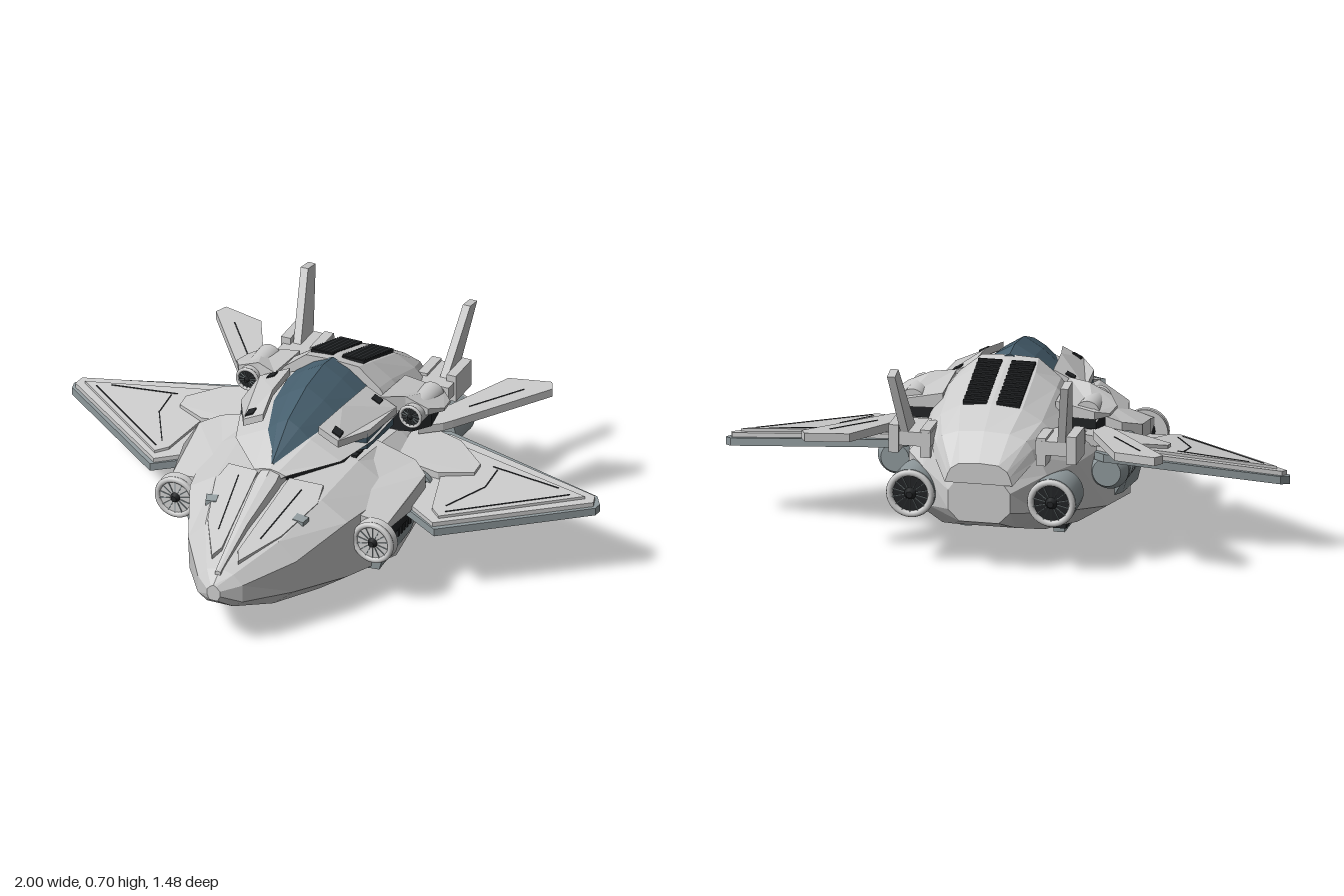
import * as THREE from 'three';

const mat = (color, flatShading = true) => new THREE.MeshStandardMaterial({ color, flatShading });
const GREY = mat(0xcccccc), ROUND = mat(0xcccccc, false), STEEL = mat(0x8f999c), PIPE = mat(0x8f999c, false);
const DARK = mat(0x222426), GLASS = mat(0x47606f), BLUE = mat(0x2c3f8c);

// Mirrored copy across x = 0 with corrected winding
function mirror(geo) {
  const g = geo.index ? geo.toNonIndexed() : geo.clone();
  g.scale(-1, 1, 1);
  for (const a of Object.values(g.attributes)) {
    for (let i = 0; i < a.count; i += 3) {
      for (let k = 0; k < a.itemSize; k++) {
        const t = a.getComponent(i + 1, k);
        a.setComponent(i + 1, k, a.getComponent(i + 2, k));
        a.setComponent(i + 2, k, t);
      }
    }
  }
  return g;
}

// Loft from front to back; each row is [z, x, y, x, y, ...], a half profile from bottom to top
function loft(rows) {
  const rings = rows.map(([z, ...p]) => {
    const half = [];
    for (let i = 0; i < p.length; i += 2) half.push([p[i], p[i + 1], z]);
    return [...half, ...half.slice().reverse().map(([x, y]) => [-x, y, z])];
  });
  const n = rings[0].length, pos = [];
  const tri = (...v) => v.forEach(q => pos.push(...q));
  for (let i = 0; i < rings.length - 1; i++) {
    for (let j = 0; j < n; j++) {
      const k = (j + 1) % n, a = rings[i][j], b = rings[i][k], c = rings[i + 1][k], d = rings[i + 1][j];
      tri(a, d, b);
      tri(b, d, c);
    }
  }
  [rings[0], rings[rings.length - 1]].forEach((r, end) => {
    const mid = [0, r.reduce((s, q) => s + q[1], 0) / n, r[0][2]];
    for (let j = 0; j < n; j++) {
      const k = (j + 1) % n;
      end ? tri(mid, r[k], r[j]) : tri(mid, r[j], r[k]);
    }
  });
  const g = new THREE.BufferGeometry();
  g.setAttribute('position', new THREE.Float32BufferAttribute(pos, 3));
  g.computeVertexNormals();
  return g;
}

// Plate with an [x, z] outline between two height functions; inset pulls the bottom edge inward
function slab(points, bottom, top, inset = 0) {
  const shape = new THREE.Shape(points.map(([x, z]) => new THREE.Vector2(x, -z)));
  const g = new THREE.ExtrudeGeometry(shape, { depth: 1, bevelEnabled: false }).rotateX(-Math.PI / 2);
  const p = g.attributes.position;
  for (let i = 0; i < p.count; i++) {
    const x = p.getX(i), z = p.getZ(i), up = p.getY(i) > 0.5;
    p.setXYZ(i, up ? x : x - inset, up ? top(x, z) : bottom(x, z), z);
  }
  g.computeVertexNormals();
  return g;
}

// Narrow seam lying on a surface
function seam(x0, z0, x1, z1, f, w = 0.002) {
  const l = Math.hypot(x1 - x0, z1 - z0), u = (z1 - z0) / l * w, v = (x1 - x0) / l * w;
  return slab([[x0 - u, z0 + v], [x1 - u, z1 + v], [x1 + u, z1 - v], [x0 + u, z0 - v]],
    (x, z) => f(x, z) - 0.004, (x, z) => f(x, z) + 0.002);
}

const box = (w, h, d, x, y, z) => new THREE.BoxGeometry(w, h, d).translate(x, y, z);
const tube = (rf, rb, len, x, y, z) =>
  new THREE.CylinderGeometry(rf, rb, len, 32).rotateX(Math.PI / 2).translate(x, y, z);

export function createModel() {
  const ship = new THREE.Group();
  ship.name = 'spacecraft';
  const add = (name, geo, m = GREY) => {
    const mesh = new THREE.Mesh(geo, m);
    mesh.name = name;
    ship.add(mesh);
  };
  const pair = (name, geo, m = GREY) => {
    add(name + 'Left', geo, m);
    add(name + 'Right', mirror(geo), m);
  };
  // Fan face with rim, hub and blades
  const turbine = (name, r, x, y, z, back = false) => {
    for (const s of [1, -1]) {
      const g = new THREE.Group();
      g.name = name;
      const part = (n, geo, m) => { const o = new THREE.Mesh(geo, m); o.name = n; g.add(o); return o; };
      part('rim', new THREE.TorusGeometry(r, r * 0.16, 8, 32), ROUND);
      part('fanDisc', tube(r, r, 0.01, 0, 0, -0.005), DARK);
      part('hub', tube(r * 0.15, r * 0.3, 0.02, 0, 0, 0.008), DARK);
      for (let i = 0; i < 14; i++) {
        part('blade', box(r * 0.04, r * 0.6, 0.008, 0, r * 0.6, 0.002), STEEL).rotation.z = i * Math.PI / 7;
      }
      // Turn each blade about the hub
      for (const o of g.children) if (o.name === 'blade') o.position.set(0, 0, 0);
      g.position.set(s * x, y, z);
      if (back) g.rotation.y = Math.PI;
      ship.add(g);
    }
  };

  // Main hull
  add('hull', loft([
    [0.735, 0.015, 0.19, 0.025, 0.21, 0.025, 0.23, 0.01, 0.245, 0, 0.25],
    [0.68, 0.05, 0.15, 0.085, 0.175, 0.085, 0.24, 0.05, 0.275, 0, 0.29],
    [0.5, 0.12, 0.085, 0.2, 0.15, 0.205, 0.27, 0.14, 0.335, 0, 0.355],
    [0.28, 0.19, 0.045, 0.3, 0.12, 0.3, 0.335, 0.2, 0.4, 0, 0.425],
    [0.02, 0.25, 0.03, 0.365, 0.085, 0.355, 0.34, 0.22, 0.425, 0, 0.44],
    [-0.25, 0.24, 0.055, 0.345, 0.12, 0.34, 0.34, 0.25, 0.42, 0, 0.45],
    [-0.5, 0.18, 0.1, 0.3, 0.18, 0.3, 0.35, 0.25, 0.42, 0, 0.46],
    [-0.63, 0.11, 0.14, 0.2, 0.2, 0.22, 0.34, 0.19, 0.4, 0, 0.43],
    [-0.72, 0.07, 0.18, 0.11, 0.22, 0.11, 0.29, 0.08, 0.33, 0, 0.34]]));

  // Rear deck with slatted vents
  add('rearDeck', loft([
    [-0.24, 0.25, 0.42, 0.23, 0.5, 0.18, 0.57, 0.1, 0.635, 0, 0.64],
    [-0.33, 0.26, 0.42, 0.24, 0.5, 0.185, 0.56, 0.11, 0.61, 0, 0.62],
    [-0.53, 0.25, 0.41, 0.22, 0.46, 0.18, 0.5, 0.11, 0.54, 0, 0.55],
    [-0.64, 0.18, 0.39, 0.17, 0.43, 0.15, 0.46, 0.09, 0.48, 0, 0.485],
    [-0.725, 0.12, 0.32, 0.11, 0.35, 0.1, 0.37, 0.07, 0.39, 0, 0.395]]));
  const deckY = z => 0.645 + 0.345 * (z + 0.25);
  pair('ventBed', slab([[0.018, -0.285], [0.1, -0.285], [0.1, -0.53], [0.018, -0.53]],
    (x, z) => deckY(z) - 0.03, (x, z) => deckY(z) + 0.001), DARK);
  for (let i = 0; i < 12; i++) {
    const z = -0.295 - i * 0.0205;
    pair('ventSlat', box(0.084, 0.01, 0.01, 0.059, deckY(z) + 0.002, z), DARK);
  }

  // Cockpit shell, ridged canopy and dark gap below
  add('cockpitGap', slab([[-0.2, -0.25], [-0.18, 0.05], [-0.05, 0.24], [0.05, 0.24], [0.18, 0.05], [0.2, -0.25]],
    () => 0.41, () => 0.455), DARK);
  add('cockpitShell', loft([
    [0.27, 0.04, 0.44, 0.06, 0.455, 0.03, 0.465, 0, 0.47],
    [0.12, 0.15, 0.45, 0.2, 0.47, 0.085, 0.53, 0, 0.555],
    [-0.03, 0.19, 0.45, 0.25, 0.485, 0.13, 0.55, 0, 0.6],
    [-0.23, 0.2, 0.45, 0.26, 0.5, 0.15, 0.56, 0, 0.6]]));
  add('canopy', loft([
    [0.25, 0.008, 0.455, 0.012, 0.468, 0.007, 0.478, 0, 0.485],
    [0.12, 0.06, 0.5, 0.08, 0.53, 0.042, 0.565, 0, 0.59],
    [-0.03, 0.1, 0.52, 0.127, 0.55, 0.065, 0.603, 0, 0.643],
    [-0.17, 0.115, 0.53, 0.14, 0.562, 0.07, 0.617, 0, 0.658],
    [-0.25, 0.115, 0.53, 0.135, 0.565, 0.068, 0.615, 0, 0.645]]), GLASS);
  const cheek = (x, z) => 0.577 - 0.5 * (x - 0.14) - 0.25 * Math.max(0, z + 0.03);
  pair('sideWindow', slab([[0.2, 0.02], [0.24, -0.01], [0.253, -0.2], [0.2, -0.2]],
    () => 0.462, cheek), GLASS);
  pair('cockpitFrame', slab([[0.105, 0.1], [0.18, 0.1], [0.245, -0.02], [0.26, -0.21], [0.145, -0.21], [0.133, -0.04]],
    (x, z) => cheek(x, z) - 0.015, (x, z) => cheek(x, z) + 0.012));
  for (const [x, z] of [[0.2, -0.18], [0.165, 0.07]]) {
    pair('cockpitPort', slab([[x - 0.015, z - 0.015], [x - 0.015, z + 0.015], [x + 0.015, z + 0.015], [x + 0.015, z - 0.015]],
      cheek, (u, v) => cheek(u, v) + 0.017), DARK);
  }
  pair('seatAccent', box(0.02, 0.05, 0.02, 0.225, 0.505, -0.215), BLUE);

  // Nose spine and raised nose armour
  add('noseSpine', loft([
    [0.7, 0.012, 0.24, 0.01, 0.285, 0, 0.288],
    [0.5, 0.024, 0.33, 0.02, 0.375, 0, 0.38],
    [0.3, 0.048, 0.4, 0.038, 0.445, 0, 0.455],
    [0.2, 0.052, 0.42, 0.028, 0.48, 0, 0.495]]));
  const noseY = (x, z) => 0.514 - 0.14 * x - 0.318 * z;
  const noseTop = (x, z) => noseY(x, z) + 0.005;
  pair('noseArmour', slab([[0.06, 0.24], [0.18, 0.22], [0.195, 0.3], [0.14, 0.48], [0.05, 0.64], [0.03, 0.6]],
    (x, z) => noseY(x, z) - 0.04, noseTop));
  pair('noseHatch', slab([[0.15, 0.37], [0.195, 0.37], [0.185, 0.4], [0.145, 0.4]],
    (x, z) => noseY(x, z) - 0.05, (x, z) => noseY(x, z) + 0.008), STEEL);
  pair('noseSeam', seam(0.12, 0.27, 0.08, 0.52, noseTop), DARK);

  // Shoulder housings above the side engines
  pair('shoulder', slab([[0.2, 0.22], [0.31, 0.21], [0.41, 0.19], [0.43, 0.05], [0.43, -0.08], [0.37, -0.13], [0.2, -0.13]],
    (x, z) => 0.29 - 0.03 * Math.max(z, 0), (x, z) => 0.438 - 0.3 * (x - 0.2) - 0.35 * Math.max(0, z)));
  for (let i = 0; i < 5; i++) pair('shoulderSlot', box(0.02, 0.008, 0.025, 0.2, 0.434, 0.0 - i * 0.03), DARK);

  // Side engines: intake ring, dark duct, ribbed rear and lower fairing
  turbine('sideIntake', 0.068, 0.375, 0.25, 0.235);
  pair('intakeRing', tube(0.074, 0.08, 0.035, 0.375, 0.25, 0.22), ROUND);
  pair('sideDuct', tube(0.05, 0.05, 0.3, 0.36, 0.255, 0.06), DARK);
  pair('sideEngineCore', tube(0.062, 0.06, 0.28, 0.375, 0.28, -0.22), DARK);
  for (let i = 0; i < 6; i++) {
    pair('engineRib', tube(0.07, 0.07, 0.022, 0.375, 0.285, -0.12 - i * 0.042), PIPE);
  }
  pair('engineEndCap', tube(0.07, 0.05, 0.04, 0.375, 0.285, -0.37), PIPE);
  pair('sideFairing', slab([[0.3, 0.16], [0.4, 0.15], [0.405, -0.1], [0.39, -0.165], [0.3, -0.165]],
    (x, z) => 0.1 - 0.12 * (z - 0.1), (x, z) => z > -0.12 ? 0.25 : 0.2, 0.04), STEEL);
  for (let i = 0; i < 5; i++) pair('fairingSlot', box(0.014, 0.035, 0.012, 0.394, 0.215, 0.075 - i * 0.024), DARK);

  // Layered main wings
  const wingY = (x, z) => 0.298 - 0.085 * x - 0.151 * z;
  const over = h => (x, z) => wingY(x, z) + h;
  pair('wingBase', slab([[0.33, 0.0], [0.43, 0.04], [0.54, 0.09], [0.995, -0.255], [1, -0.28], [0.975, -0.315], [0.37, -0.41], [0.33, -0.38]],
    wingY, over(0.028)), STEEL);
  pair('wingDeck', slab([[0.33, -0.02], [0.43, 0.03], [0.53, 0.08], [0.985, -0.26], [0.975, -0.295], [0.39, -0.375], [0.33, -0.35]],
    over(0.028), over(0.044)));
  pair('wingPanel', slab([[0.5, 0.02], [0.54, 0.05], [0.95, -0.265], [0.46, -0.325], [0.42, -0.28]],
    over(0.044), over(0.054)));
  pair('wingRootFairing', slab([[0.28, -0.14], [0.45, -0.14], [0.56, -0.2], [0.56, -0.25], [0.45, -0.33], [0.28, -0.35]],
    over(0.04), (x, z) => wingY(x, z) + 0.066 + 0.06 * Math.max(0, 0.5 - x)));
  for (const l of [[0.55, 0.02, 0.9, -0.25], [0.6, -0.27, 0.85, -0.265], [0.54, -0.01, 0.62, -0.16], [0.62, -0.16, 0.62, -0.26]]) {
    pair('wingSeam', seam(...l, over(0.054)), DARK);
  }

  // Upper nacelles with swept stabilisers
  turbine('upperIntake', 0.038, 0.31, 0.5, -0.215);
  pair('upperNacelle', tube(0.04, 0.044, 0.18, 0.31, 0.498, -0.31), ROUND);
  pair('nacelleHousing', slab([[0.2, -0.2], [0.28, -0.24], [0.36, -0.25], [0.395, -0.31], [0.385, -0.38], [0.34, -0.42], [0.2, -0.41]],
    (x, z) => 0.485 + 0.1 * (z + 0.4), (x, z) => 0.56 - 0.5 * Math.max(0, x - 0.29) + 0.2 * Math.min(0, z + 0.3)));
  pair('nacelleUnderside', slab([[0.2, -0.23], [0.3, -0.25], [0.35, -0.3], [0.34, -0.4], [0.2, -0.41]],
    (x, z) => 0.42 - 0.15 * (z + 0.25), () => 0.49), DARK);
  const finY = (x, z) => 0.395 - 0.065 * (z + 0.25);
  pair('stabiliser', slab([[0.31, -0.28], [0.38, -0.33], [0.405, -0.36], [0.64, -0.67], [0.62, -0.71], [0.47, -0.675], [0.33, -0.4]],
    finY, (x, z) => finY(x, z) + 0.03));
  pair('stabiliserSeam', seam(0.42, -0.46, 0.55, -0.63, (x, z) => finY(x, z) + 0.03), DARK);

  // Canted tail fins on their mounts
  const tail = new THREE.Shape([[-0.55, 0.46], [-0.68, 0.7], [-0.74, 0.69], [-0.65, 0.44]].map(p => new THREE.Vector2(...p)));
  const tailGeo = new THREE.ExtrudeGeometry(tail, { depth: 0.028, bevelEnabled: false }).rotateY(-Math.PI / 2);
  const tp = tailGeo.attributes.position;
  for (let i = 0; i < tp.count; i++) tp.setX(i, tp.getX(i) + 0.29 + 0.13 * (tp.getY(i) - 0.45));
  tailGeo.computeVertexNormals();
  pair('tailFin', tailGeo);
  pair('tailMount', box(0.14, 0.05, 0.165, 0.255, 0.445, -0.578));
  pair('tailMountOuter', box(0.035, 0.1, 0.13, 0.315, 0.445, -0.605));
  pair('tailMountInner', box(0.035, 0.1, 0.12, 0.205, 0.43, -0.6));

  // Main rear thrusters
  pair('thruster', tube(0.08, 0.086, 0.145, 0.25, 0.258, -0.615), PIPE);
  turbine('thrusterNozzle', 0.074, 0.25, 0.258, -0.692, true);

  // Landing skids
  pair('skidMount', box(0.06, 0.04, 0.4, 0.165, 0.04, -0.03), DARK);
  pair('skid', box(0.04, 0.03, 0.36, 0.165, 0.015, -0.03), STEEL);
  return ship;
}
